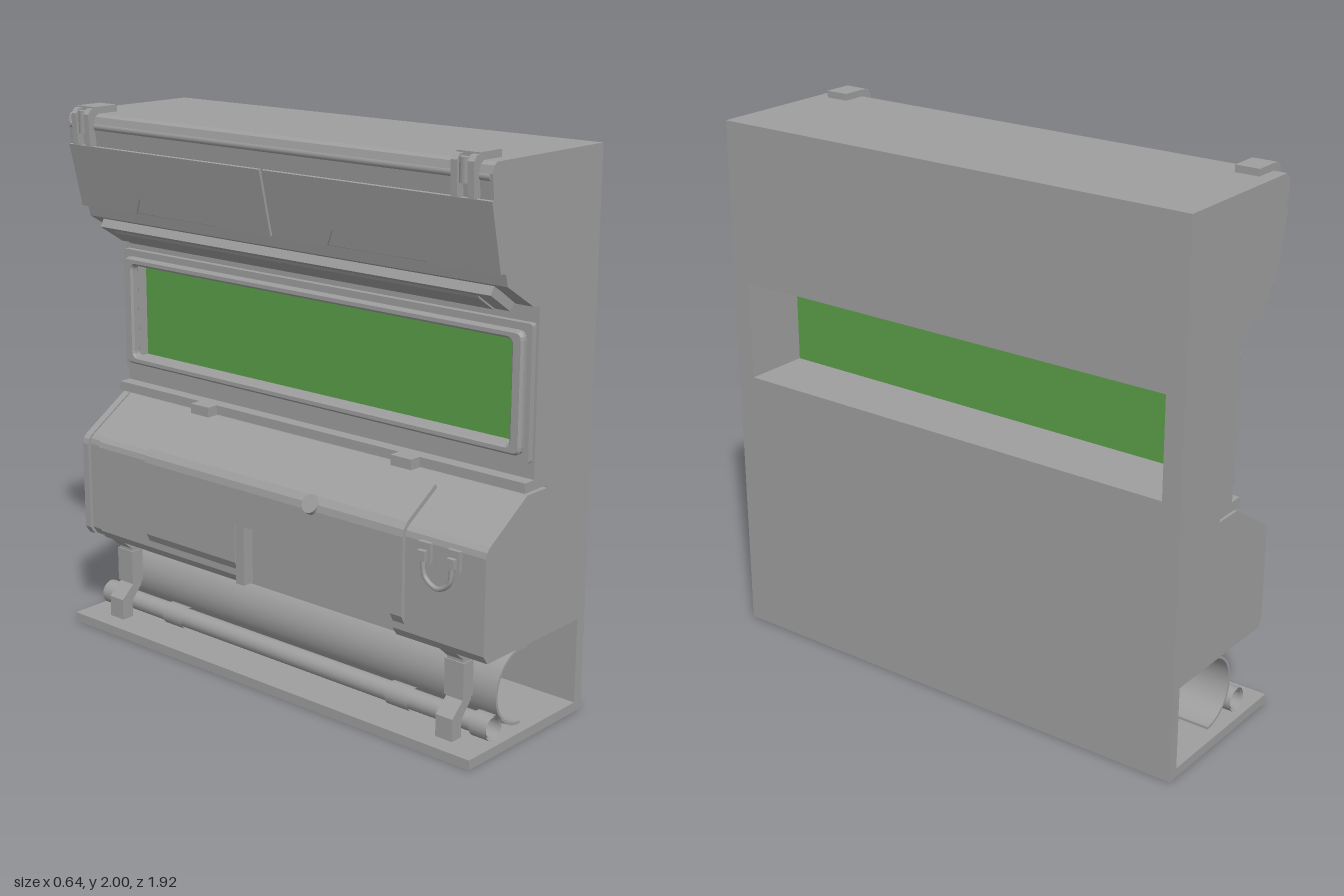
import * as THREE from 'three';

const grey = new THREE.MeshStandardMaterial({ color: 0x9e9e9e });
const greyThin = new THREE.MeshStandardMaterial({ color: 0x9e9e9e, side: THREE.DoubleSide });
const green = new THREE.MeshStandardMaterial({ color: 0x5a9e49 });

const W = 0.96; // half length of the wall along z

export function createModel() {
  const model = new THREE.Group();

  const add = (name, geo, mat = grey) => {
    const m = new THREE.Mesh(geo, mat);
    m.name = name;
    model.add(m);
    return m;
  };
  const poly = (pts) => new THREE.Shape(pts.map((p) => new THREE.Vector2(p[0], p[1])));

  // x-y profile extruded along z
  const slab = (name, pts, z0, z1) => {
    const g = new THREE.ExtrudeGeometry(poly(pts), { depth: z1 - z0, bevelEnabled: false });
    return add(name, g.translate(0, 0, z0));
  };
  const box = (name, x0, x1, y0, y1, z0, z1, mat) =>
    add(name, new THREE.BoxGeometry(x1 - x0, y1 - y0, z1 - z0)
      .translate((x0 + x1) / 2, (y0 + y1) / 2, (z0 + z1) / 2), mat);

  // shape drawn in (z, along-slope) and raised outwards toward -x
  const facePlate = (name, shape, depth, origin, dir, bevel = 0) => {
    const g = new THREE.ExtrudeGeometry(shape, {
      depth: depth - bevel, bevelEnabled: bevel > 0, bevelThickness: bevel,
      bevelSize: bevel, bevelOffset: -bevel, bevelSegments: 1, curveSegments: 4,
    });
    const y = new THREE.Vector3(dir[0], dir[1], 0).normalize();
    const x = new THREE.Vector3(0, 0, 1);
    const z = new THREE.Vector3().crossVectors(x, y);
    g.applyMatrix4(new THREE.Matrix4().makeBasis(x, y, z).setPosition(origin[0], origin[1], 0));
    return add(name, g);
  };
  const roundRect = (Cls, hw, y0, y1, r) => {
    const s = new Cls();
    s.moveTo(-hw + r, y0).lineTo(hw - r, y0).quadraticCurveTo(hw, y0, hw, y0 + r);
    s.lineTo(hw, y1 - r).quadraticCurveTo(hw, y1, hw - r, y1);
    s.lineTo(-hw + r, y1).quadraticCurveTo(-hw, y1, -hw, y1 - r);
    s.lineTo(-hw, y0 + r).quadraticCurveTo(-hw, y0, -hw + r, y0);
    return s;
  };

  // base, back wall and wall around the window, with a slit under the ledge
  box('baseSlab', -0.32, 0.32, 0, 0.035, -W, W);
  box('backWall', 0.28, 0.32, 0.035, 0.345, -W, W);
  slab('wallBelowWindow', [[-0.005, 0.88], [0.07, 0.88], [0.07, 0.87], [0.32, 0.87], [0.32, 1.02], [-0.005, 1.02]], -W, W);
  for (const s of [-1, 1]) {
    box('windowJamb', -0.005, 0.32, 1.02, 1.385, Math.min(s * 0.89, s * W), Math.max(s * 0.89, s * W));
  }

  // overhanging upper cabinet
  slab('upperCabinet', [[0.32, 1.385], [0.32, 1.975], [-0.25, 1.975], [-0.265, 1.965], [-0.272, 1.94],
    [-0.262, 1.86], [-0.207, 1.625], [-0.19, 1.62], [-0.18, 1.58], [-0.04, 1.495], [-0.005, 1.49],
    [-0.005, 1.385]], -W, W);

  // sloped door panels with a grip cut-out in the lower edge
  for (const s of [-1, 1]) {
    const pts = [[0.006, 0], [0.25, 0], [0.28, 0.06], [0.64, 0.06], [0.67, 0], [W, 0], [W, 0.24], [0.006, 0.24]];
    facePlate('upperDoor', poly(pts.map(([a, b]) => [a * s, b])), 0.01, [-0.207, 1.625], [-0.055, 0.235]);
  }
  const rail = add('upperRail', new THREE.CylinderGeometry(0.016, 0.016, 1.9, 12).rotateX(Math.PI / 2));
  rail.position.set(-0.26, 1.93, 0);

  // slanted light strip beneath the cabinet
  slab('lightStrip', [[-0.168, 1.575], [-0.185, 1.545], [-0.08, 1.478], [-0.055, 1.5]], -0.9, 0.9);
  slab('lightStripLens', [[-0.17, 1.535], [-0.165, 1.525], [-0.09, 1.477], [-0.08, 1.48], [-0.1, 1.5]], -0.84, 0.84);

  // forked clips hooked over the top corners, with a round pin between the prongs
  for (const z of [-0.865, 0.865]) {
    box('topClipPlate', -0.27, -0.16, 1.97, 2, z - 0.045, z + 0.045);
    for (const dz of [-0.045, 0.02]) {
      slab('topClipProng', [[-0.24, 1.97], [-0.24, 1.998], [-0.285, 1.993], [-0.3, 1.975], [-0.295, 1.86],
        [-0.265, 1.86], [-0.25, 1.9]], z + dz, z + dz + 0.025);
    }
    const pin = add('topClipPin', new THREE.CylinderGeometry(0.03, 0.03, 0.08, 18));
    pin.position.set(-0.266, 1.945, z);
  }

  // window frame and glass
  const outer = roundRect(THREE.Shape, 0.95, 0.97, 1.435, 0.01);
  outer.holes.push(roundRect(THREE.Path, 0.89, 1.02, 1.385, 0.01));
  facePlate('windowFrameBase', outer, 0.023, [-0.005, 0], [0, 1]);
  const inner = roundRect(THREE.Shape, 0.93, 0.995, 1.41, 0.03);
  inner.holes.push(roundRect(THREE.Path, 0.885, 1.025, 1.38, 0.02));
  facePlate('windowFrameRim', inner, 0.032, [-0.018, 0], [0, 1], 0.008);
  box('windowGlass', 0.03, 0.07, 1.02, 1.385, -0.89, 0.89, green);

  // ledge with two stops
  box('ledge', -0.055, 0, 0.88, 0.915, -W, W);
  for (const z of [-0.48, 0.48]) box('ledgeStop', -0.1, -0.05, 0.878, 0.915, z - 0.045, z + 0.045);

  // lower cabinet, split lengthwise where the front is set back
  const body = (d, notch) => {
    const front = notch
      ? [[-0.255, 0.57], [-0.22, 0.56], [-0.22, 0.345]]
      : [[-0.255 + d, 0.375], [-0.235 + d, 0.345]];
    return [[0.32, 0.345], [0.32, 0.87], [-0.04 + d, 0.87], [-0.235 + d, 0.745], [-0.25 + d, 0.73],
      [-0.255 + d, 0.71], ...front];
  };
  const sections = [[-W, -0.93, 0, 0], [-0.93, -0.87, 0.012, 0], [-0.87, -0.14, 0, 0],
    [-0.14, 0.58, 0, 1], [0.58, W, 0, 0]];
  for (const [z0, z1, d, notch] of sections) slab('lowerCabinet', body(d, notch), z0, z1);

  // raised cover over the middle, open around the recess
  slab('coverTop', [[-0.09, 0.838], [-0.1, 0.853], [-0.245, 0.758], [-0.265, 0.735], [-0.27, 0.71],
    [-0.27, 0.575], [-0.25, 0.575], [-0.25, 0.72]], -0.6, 0.63);
  for (const [z0, z1] of [[-0.6, -0.14], [0.58, 0.63]]) {
    slab('coverFront', [[-0.25, 0.575], [-0.27, 0.575], [-0.27, 0.43], [-0.255, 0.4], [-0.25, 0.4]], z0, z1);
  }
  box('recessPost', -0.265, -0.215, 0.35, 0.575, -0.14, -0.1);

  // round knob tilted on the cover edge
  const knob = add('knob', new THREE.CylinderGeometry(0.034, 0.038, 0.04, 18).rotateZ(Math.PI / 2 - 0.5));
  knob.position.set(-0.252, 0.725, 0.22);

  // cable loop between two brackets
  for (const z of [0.72, 0.84]) {
    box('cableBracket', -0.27, -0.25, 0.645, 0.715, z - 0.025, z + 0.025);
    box('cableSocket', -0.287, -0.265, 0.655, 0.69, z - 0.015, z + 0.015);
  }
  const loop = new THREE.CatmullRomCurve3([[0.66, 0.72], [0.6, 0.73], [0.57, 0.78], [0.6, 0.83], [0.66, 0.84]]
    .map(([y, z]) => new THREE.Vector3(-0.275, y, z)));
  add('cable', new THREE.TubeGeometry(loop, 24, 0.009, 8));

  // supports under the lower cabinet
  for (const z of [-0.8, 0.8]) {
    slab('support', [[-0.235, 0.345], [-0.195, 0.31], [-0.195, 0.165], [-0.25, 0.115], [-0.25, 0.035],
      [-0.2, 0.035], [-0.2, 0.1], [-0.15, 0.155], [-0.15, 0.345]], z - 0.035, z + 0.035);
    box('supportBand', -0.2, -0.147, 0.17, 0.3, z - 0.04, z + 0.04);
  }

  // open curved trough behind the supports
  const arc = new THREE.Shape();
  const a0 = Math.PI * 0.43, a1 = Math.PI * 1.5;
  arc.absarc(0.013, 0.178, 0.14, a0, a1, false);
  arc.absarc(0.013, 0.178, 0.13, a1, a0, true);
  add('trough', new THREE.ExtrudeGeometry(arc, { depth: 1.84, bevelEnabled: false, curveSegments: 28 })
    .translate(0, 0, -0.92), greyThin);

  // thin pipe with wider ends and collars
  const pipe = (name, r, z0, z1) => {
    const p = add(name, new THREE.CylinderGeometry(r, r, z1 - z0, 20, 1, true).rotateX(Math.PI / 2), greyThin);
    p.position.set(-0.155, 0.083, (z0 + z1) / 2);
  };
  pipe('pipe', 0.036, -0.93, 0.93);
  for (const s of [-1, 1]) {
    pipe('pipeEnd', 0.045, s * 0.9 - 0.035, s * 0.9 + 0.035);
    pipe('pipeCollar', 0.042, s * 0.55 - 0.05, s * 0.55 + 0.05);
  }

  return model;
}
